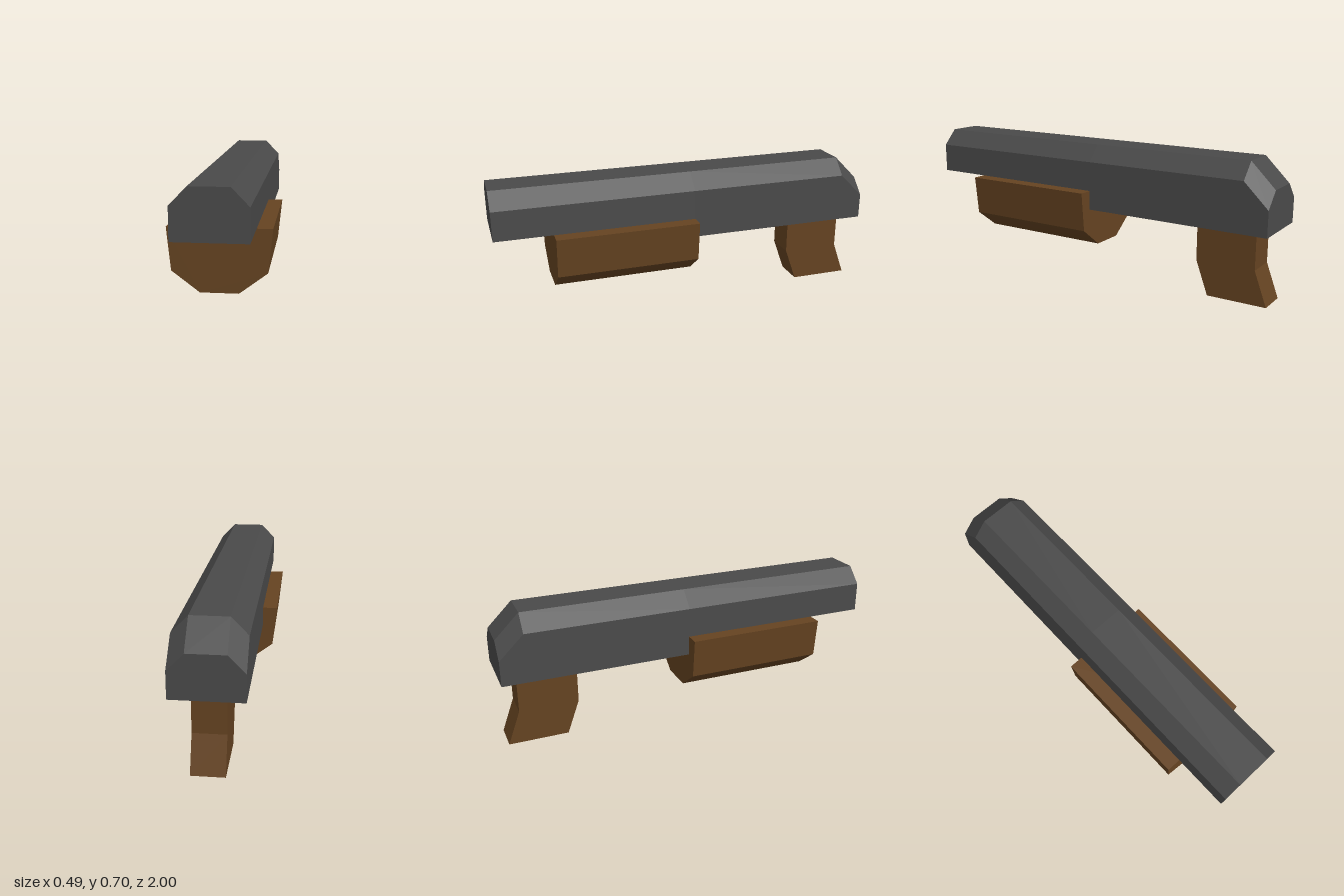
import * as THREE from 'three';
import { toCreasedNormals } from 'three/addons/utils/BufferGeometryUtils.js';

const darkGrey = new THREE.MeshStandardMaterial({ name: 'darkGrey', color: 0x4a4a4a });
const brown = new THREE.MeshStandardMaterial({ name: 'brown', color: 0x654321 });

// Closed loft through rings of [x, y], ordered back to front, counter-clockwise from the front
function loft(sections) {
  const pos = [];
  const tri = (...pts) => pts.forEach((p) => pos.push(...p));
  const rings = sections.map(({ z, ring }) => ring.map(([x, y]) => [x, y, z]));
  const n = rings[0].length;
  for (let s = 0; s < rings.length - 1; s++) {
    const a = rings[s], b = rings[s + 1];
    for (let i = 0; i < n; i++) {
      const j = (i + 1) % n;
      tri(a[i], a[j], b[j]);
      tri(a[i], b[j], b[i]);
    }
  }
  const back = rings[0], front = rings[rings.length - 1];
  for (let i = 1; i < n - 1; i++) {
    tri(back[0], back[i + 1], back[i]);
    tri(front[0], front[i], front[i + 1]);
  }
  const geo = new THREE.BufferGeometry();
  geo.setAttribute('position', new THREE.Float32BufferAttribute(pos, 3));
  geo.computeVertexNormals();
  return geo;
}

// Straight extrusion of a polygon
function prism(points, depth) {
  const shape = new THREE.Shape(points.map(([x, y]) => new THREE.Vector2(x, y)));
  return new THREE.ExtrudeGeometry(shape, { depth, bevelEnabled: false });
}

function part(name, geometry, material) {
  const mesh = new THREE.Mesh(geometry, material);
  mesh.name = name;
  return mesh;
}

export function createModel() {
  const group = new THREE.Group();
  group.name = 'model';

  // Long body: chamfered top, stepped underside, sloping rear end
  const bodyRing = (z, bottom, shoulder, top) => ({
    z,
    ring: [[-0.169, bottom], [0.169, bottom], [0.169, shoulder],
      [0.09, top], [-0.09, top], [-0.169, shoulder]],
  });
  group.add(part('body', loft([
    bodyRing(-1, 0.37, 0.5, 0.58),
    bodyRing(-0.875, 0.37, 0.622, 0.704),
    bodyRing(-0.025, 0.37, 0.622, 0.704),
    bodyRing(-0.025, 0.47, 0.622, 0.704),
    bodyRing(1, 0.47, 0.622, 0.704),
  ]), darkGrey));

  // Front handguard: tapered sides and a softly shaded keel
  const guard = prism([[-0.09, 0.165], [0.09, 0.165], [0.222, 0.265],
    [0.243, 0.47], [-0.243, 0.47], [-0.222, 0.265]], 0.735);
  guard.translate(0, 0, -0.028);
  group.add(part('handguard', toCreasedNormals(guard, 0.75), brown));

  // Rear grip: side profile in (z, y), swept backwards below the bend
  const grip = prism([[-0.98, 0], [-0.672, 0], [-0.608, 0.175],
    [-0.608, 0.372], [-0.915, 0.372], [-0.915, 0.175]], 0.158);
  grip.rotateY(-Math.PI / 2).translate(0.079, 0, 0);
  group.add(part('rearGrip', grip, brown));

  return group;
}
